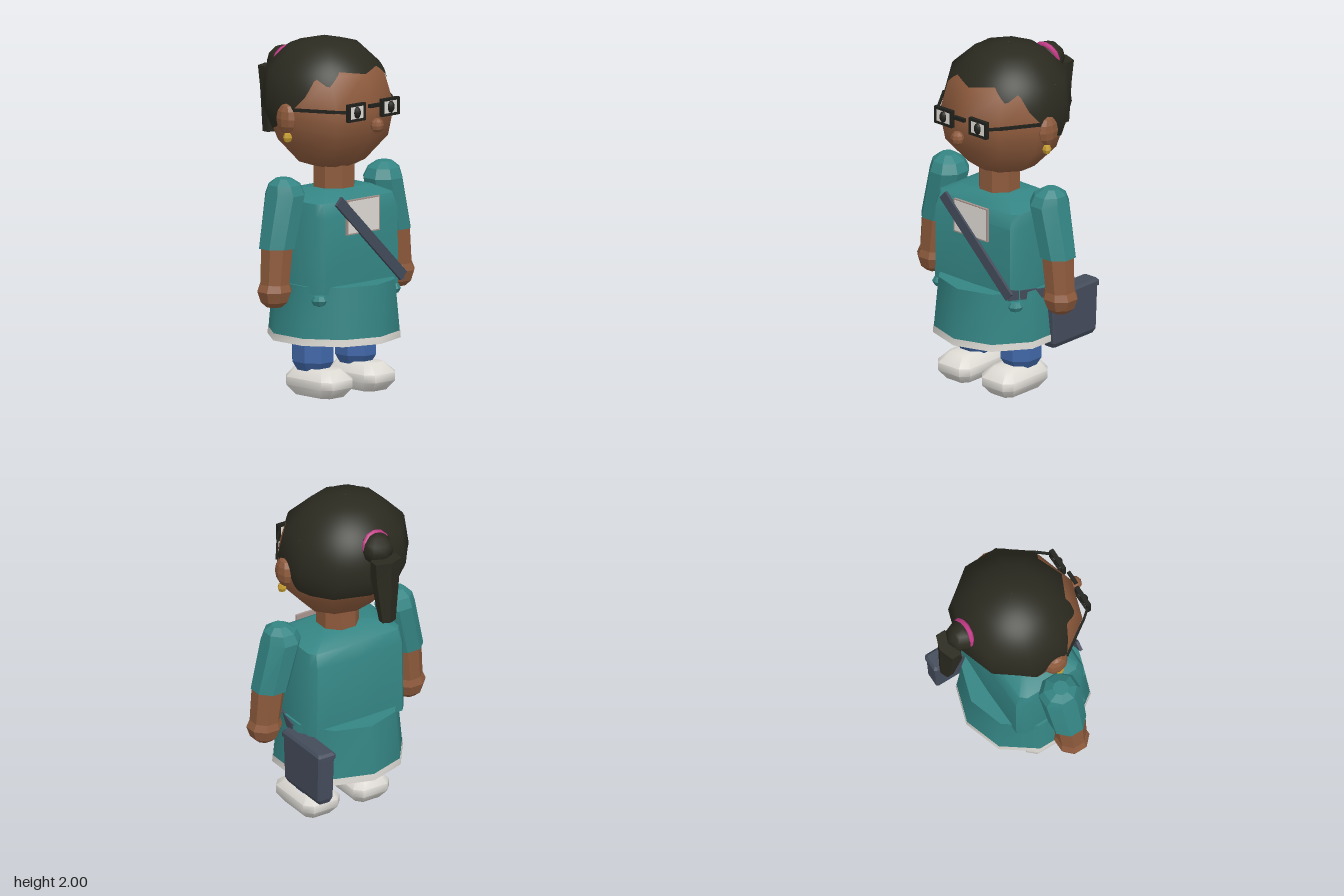
import * as THREE from 'three';
import { toCreasedNormals } from 'three/addons/utils/BufferGeometryUtils.js';

const mat = (name, color, side = THREE.FrontSide) => {
  const m = new THREE.MeshStandardMaterial({ color, side });
  m.name = name;
  return m;
};

export function createModel() {
  const model = new THREE.Group();
  model.name = 'figure';
  const skin = mat('skin brown', 0x8d5a3c);
  const teal = mat('teal cloth', 0x348584, THREE.DoubleSide);
  const hairMat = mat('dark hair', 0x2a2a20, THREE.DoubleSide);
  const blue = mat('blue denim', 0x4067a8);
  const white = mat('off white', 0xdedbd5, THREE.DoubleSide);
  const slate = mat('slate leather', 0x444c5b);
  const gold = mat('gold', 0xc39a2e);
  const pink = mat('pink', 0xc23a86);
  const black = mat('black', 0x20201b);
  const taupe = mat('taupe edge', 0xa6938c);

  const add = (name, geo, material, x = 0, y = 0, z = 0) => {
    const m = new THREE.Mesh(geo, material);
    m.name = name;
    m.position.set(x, y, z);
    model.add(m);
    return m;
  };
  const crease = (g, a = 0.2) => toCreasedNormals(g, a);
  const ball = (rx, ry, rz, w = 8, h = 6) =>
    crease(new THREE.SphereGeometry(1, w, h).scale(rx, ry, rz));
  const ngon = (n, phase = 0) => Array.from({ length: n }, (_, i) => {
    const a = ((i + phase) / n) * Math.PI * 2;
    return [Math.sin(a), Math.cos(a)];
  });

  // Skins an outline through rings [y, cx, cz, rx, rz], listed from the bottom up
  const loft = (outline, rings, angle = 0.2) => {
    const n = outline.length, pos = [], idx = [];
    for (const [y, cx, cz, rx, rz] of rings)
      for (const [x, z] of outline) pos.push(cx + x * rx, y, cz + z * rz);
    const at = (i, j) => i * n + (j % n);
    for (let i = 0; i < rings.length - 1; i++)
      for (let j = 0; j < n; j++)
        idx.push(at(i, j), at(i, j + 1), at(i + 1, j + 1), at(i, j), at(i + 1, j + 1), at(i + 1, j));
    const last = rings.length - 1;
    for (let j = 1; j < n - 1; j++) {
      idx.push(0, j + 1, j);
      idx.push(at(last, 0), at(last, j), at(last, j + 1));
    }
    const g = new THREE.BufferGeometry();
    g.setAttribute('position', new THREE.Float32BufferAttribute(pos, 3));
    g.setIndex(idx);
    return crease(g, angle);
  };

  // Rectangular bar between two points
  const bar = (name, a, b, w, h, material) => {
    const p = new THREE.Vector3(...a), q = new THREE.Vector3(...b);
    const m = add(name, new THREE.BoxGeometry(w, h, p.distanceTo(q)), material);
    m.position.copy(p).lerp(q, 0.5);
    m.lookAt(q);
    return m;
  };

  // Head: ten sides, smooth, with the face set forward of the crown
  const skull = [[1.28, 0, 0.075, 0.12, 0.115], [1.31, 0, 0.065, 0.21, 0.175], [1.45, 0, 0.065, 0.345, 0.3],
    [1.62, 0, 0.035, 0.378, 0.37], [1.82, 0, 0.012, 0.34, 0.322], [1.95, 0, 0.005, 0.2, 0.19],
    [1.995, 0, 0.005, 0.002, 0.002]];
  add('head', loft(ngon(10), skull, 1.3), skin);

  // Hair cap: follows the head's facets down to a jagged hairline [degrees from front, y]
  const hairline = [[0, 1.82], [27, 1.84], [40, 1.76], [52, 1.81], [63, 1.71], [74, 1.64],
    [90, 1.62], [100, 1.53], [120, 1.49], [180, 1.48]];
  const lineAt = (deg) => {
    const i = Math.max(1, hairline.findIndex((p) => p[0] >= deg));
    const [a, ya] = hairline[i - 1], [b, yb] = hairline[i];
    return ya + ((yb - ya) * (deg - a)) / (b - a);
  };
  const levelAt = (y) => {
    const i = skull.findIndex((r) => r[0] >= y);
    return i - 1 + (y - skull[i - 1][0]) / (skull[i][0] - skull[i - 1][0]);
  };
  const COLS = 120, ROWS = 28, TOP = skull.length - 1, GROW = 1.015, MID = 1.64;
  const hp = [], hn = [], hi = [];
  for (let c = 0; c <= COLS; c++) {
    const deg = (c / COLS) * 360, phi = (deg * Math.PI) / 180;
    const end = levelAt(lineAt(Math.min(deg, 360 - deg)));
    const facet = Math.cos(Math.PI / 10) / Math.cos(((deg % 36) - 18) * Math.PI / 180);
    for (let r = 0; r <= ROWS; r++) {
      const s = TOP + ((end - TOP) * r) / ROWS, k = Math.min(TOP - 1, Math.floor(s));
      const [y, , cz, rx, rz] = skull[k].map((v, i) => THREE.MathUtils.lerp(v, skull[k + 1][i], s - k));
      const p = new THREE.Vector3(Math.sin(phi) * rx * facet, y - MID, Math.cos(phi) * rz * facet)
        .multiplyScalar(GROW);
      hp.push(p.x, p.y + MID, p.z + cz);
      hn.push(...p.normalize().toArray());
      if (c < COLS && r < ROWS) {
        const a = c * (ROWS + 1) + r, b = a + ROWS + 1;
        hi.push(a, a + 1, b + 1, a, b + 1, b);
      }
    }
  }
  const cap = new THREE.BufferGeometry();
  cap.setAttribute('position', new THREE.Float32BufferAttribute(hp, 3));
  cap.setAttribute('normal', new THREE.Float32BufferAttribute(hn, 3));
  cap.setIndex(hi);
  add('hair', cap, hairMat);

  // Bun, hair tie and ponytail
  add('bun', new THREE.SphereGeometry(0.092, 8, 6), hairMat, 0, 1.81, -0.322);
  const tie = add('hairTie', new THREE.TorusGeometry(0.076, 0.016, 6, 12), pink, 0, 1.822, -0.312);
  tie.rotation.x = 0.3;
  add('ponytail', loft(ngon(6), [[1.4, 0, -0.425, 0.05, 0.038], [1.66, 0, -0.4, 0.085, 0.066],
    [1.78, 0, -0.41, 0.098, 0.058]]), hairMat);

  // Face
  add('nose', ball(0.04, 0.042, 0.036), skin, 0, 1.545, 0.43);
  const frame = new THREE.Shape([[-0.067, -0.05], [0.067, -0.05], [0.067, 0.05], [-0.067, 0.05]]
    .map((p) => new THREE.Vector2(...p)));
  frame.holes.push(new THREE.Path([[-0.05, -0.035], [-0.05, 0.035], [0.05, 0.035], [0.05, -0.035]]
    .map((p) => new THREE.Vector2(...p))));
  const frameGeo = new THREE.ExtrudeGeometry(frame, { depth: 0.025, bevelEnabled: false });
  for (const s of [1, -1]) {
    add('glassesFrame', frameGeo, black, s * 0.13, 1.63, 0.383);
    add('eyeWhite', new THREE.BoxGeometry(0.102, 0.072, 0.008), white, s * 0.13, 1.63, 0.4);
    add('pupil', new THREE.SphereGeometry(1, 10, 8).scale(0.023, 0.034, 0.024), black, s * 0.13, 1.63, 0.402);
    bar('glassesTemple', [s * 0.19, 1.635, 0.388], [s * 0.24, 1.635, 0.33], 0.012, 0.016, black);
    bar('glassesTemple', [s * 0.235, 1.635, 0.335], [s * 0.368, 1.64, 0.14], 0.012, 0.018, black);
    add('ear', ball(0.04, 0.085, 0.07), skin, s * 0.362, 1.582, 0.075);
    add('earring', ball(0.027, 0.03, 0.027, 6, 4), gold, s * 0.365, 1.477, 0.09);
  }
  bar('glassesBridge', [-0.04, 1.655, 0.41], [0.04, 1.655, 0.41], 0.02, 0.02, black);

  // Neck and torso
  add('neck', loft(ngon(8, 0.5), [[1.1, 0, 0.083, 0.122, 0.122], [1.34, 0, 0.083, 0.122, 0.122]]), skin);
  const boxy = [[0, 1], [0.9, 0.97], [1, 0.8], [1, -0.8], [0.9, -0.97], [0, -1],
    [-0.9, -0.97], [-1, -0.8], [-1, 0.8], [-0.9, 0.97]];
  add('torso', loft(boxy, [[0.6, 0, 0.08, 0.315, 0.23], [1.03, 0, 0.08, 0.312, 0.23],
    [1.11, 0, 0.08, 0.3, 0.2], [1.16, 0, 0.08, 0.19, 0.12]], 0.8), teal);

  // Flared skirt with pale hem
  add('skirt', crease(new THREE.CylinderGeometry(0.345, 0.372, 0.3, 10, 1, true), 0.7), teal, 0, 0.49, 0.085);
  add('skirtTop', new THREE.CylinderGeometry(0.345, 0.345, 0.008, 10), teal, 0, 0.636, 0.085);
  add('hem', crease(new THREE.CylinderGeometry(0.374, 0.377, 0.04, 10, 1, true), 0.7), white, 0, 0.33, 0.085);

  const shoeOutline = [[-0.65, 1], [0.65, 1], [1, 0.75], [1, -0.75], [0.65, -1], [-0.65, -1], [-1, -0.75], [-1, 0.75]];
  for (const s of [1, -1]) {
    add('skirtButton', ball(0.047, 0.036, 0.047, 8, 4), teal, s * 0.283, 0.565, 0.26);

    // Arms
    add('sleeve', loft(ngon(8, 0.5), [[0.865, s * 0.447, 0.09, 0.108, 0.107], [1.16, s * 0.378, 0.083, 0.113, 0.122],
      [1.215, s * 0.383, 0.083, 0.094, 0.095], [1.25, s * 0.39, 0.083, 0.045, 0.045]]), teal);
    add('forearm', loft(ngon(8, 0.5), [[0.64, s * 0.475, 0.1, 0.086, 0.086],
      [0.89, s * 0.45, 0.095, 0.096, 0.096]]), skin);
    add('hand', loft(ngon(8, 0.5), [[0.535, s * 0.478, 0.1, 0.045, 0.045], [0.565, s * 0.478, 0.1, 0.08, 0.08],
      [0.625, s * 0.476, 0.1, 0.103, 0.1], [0.665, s * 0.473, 0.1, 0.088, 0.088]]), skin);

    // Legs and shoes
    add('leg', loft(ngon(8, 0.5), [[0.14, s * 0.165, 0.085, 0.09, 0.095], [0.19, s * 0.165, 0.085, 0.119, 0.128],
      [0.62, s * 0.165, 0.085, 0.119, 0.128]]), blue);
    add('shoe', loft(shoeOutline, [[0, s * 0.165, 0.137, 0.082, 0.14], [0.055, s * 0.165, 0.137, 0.12, 0.186],
      [0.1, s * 0.165, 0.137, 0.12, 0.186], [0.155, s * 0.165, 0.125, 0.072, 0.135]], 0.95), white);
  }

  // Chest panel with a thin edge
  add('chestPanelEdge', new THREE.BoxGeometry(0.252, 0.197, 0.014), taupe, 0, 1.02, 0.315);
  add('chestPanel', new THREE.BoxGeometry(0.236, 0.181, 0.008), white, 0, 1.02, 0.32);

  // Shoulder strap and side bag
  bar('strap', [-0.2, 1.125, 0.328], [0.3, 0.64, 0.328], 0.018, 0.062, slate);
  bar('strapSide', [0.295, 0.65, 0.33], [0.33, 0.595, 0.03], 0.022, 0.055, slate);
  const rect = [[-0.8, 1], [0.8, 1], [1, 0.94], [1, -0.94], [0.8, -1], [-0.8, -1], [-1, -0.94], [-1, 0.94]];
  add('bag', loft(rect, [[0.267, 0.33, -0.13, 0.036, 0.165], [0.295, 0.33, -0.13, 0.05, 0.176],
    [0.57, 0.33, -0.13, 0.053, 0.187]]), slate);
  add('bagLid', loft(rect, [[0.55, 0.33, -0.13, 0.058, 0.195], [0.575, 0.33, -0.13, 0.058, 0.195],
    [0.59, 0.33, -0.13, 0.045, 0.182]]), slate);

  return model;
}
